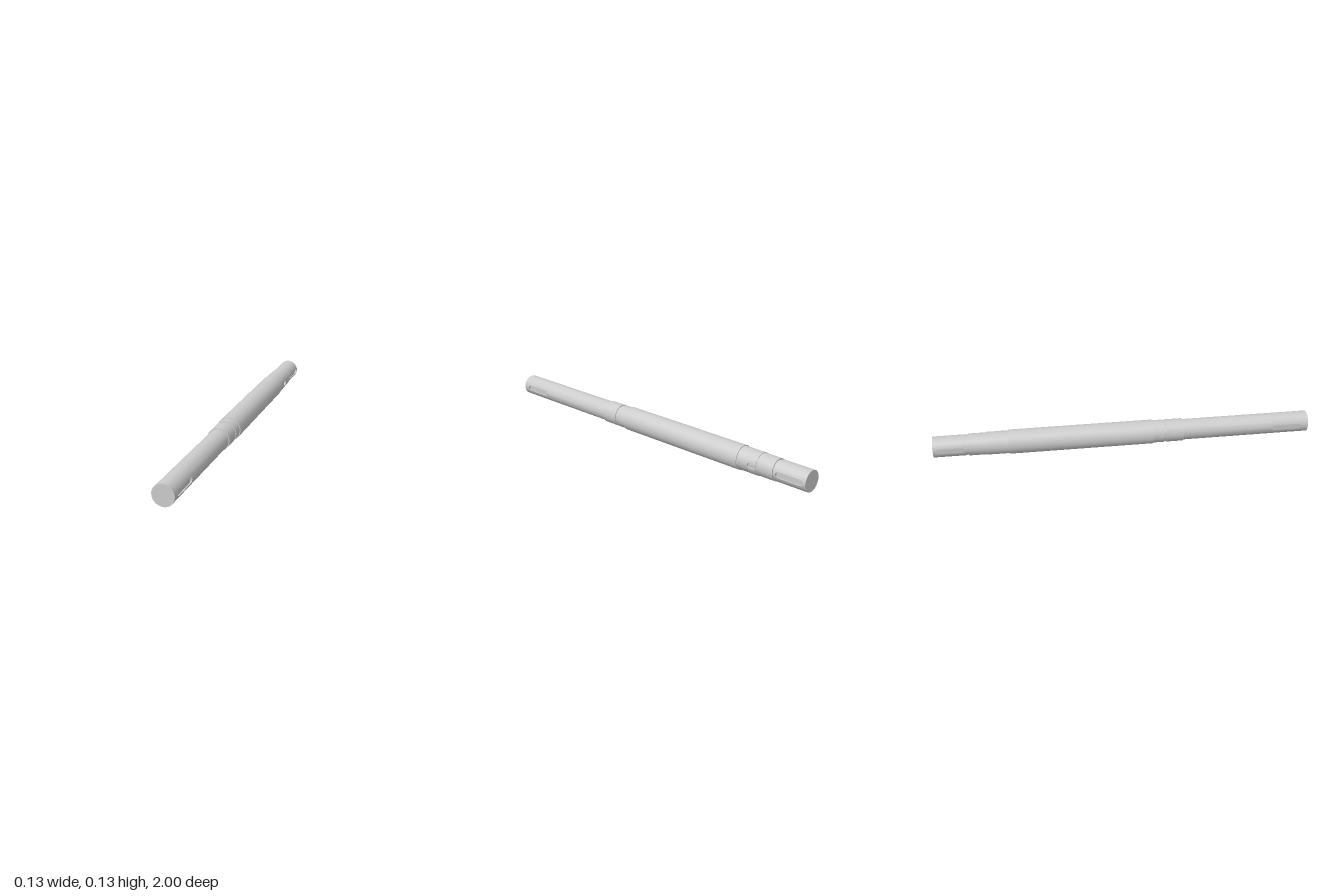
import * as THREE from 'three';
import { toCreasedNormals } from 'three/addons/utils/BufferGeometryUtils.js';

const AXIS_Y = 0.064;
const SIDES = 32;

// One cross-section: a circle whose +x side is notched by a slot of half-width h down to x = floor
function crossSection({ z, r, h = 0, floor = r }) {
  const a = r > 0 ? Math.asin(h / r) : 0;
  const pts = [];
  for (let i = 0; i <= SIDES; i++) {
    const t = a + (2 * Math.PI - 2 * a) * i / SIDES;
    pts.push(new THREE.Vector3(r * Math.cos(t), r * Math.sin(t), z));
  }
  pts.push(new THREE.Vector3(floor, -h, z), new THREE.Vector3(floor, h, z));
  return pts;
}

// Skin a list of stations running from -z to +z
function loft(stations) {
  const rings = stations.map(crossSection);
  const pos = [];
  const tri = (a, b, c) => {
    const area = b.clone().sub(a).cross(c.clone().sub(a)).length();
    if (area > 1e-10) pos.push(...a.toArray(), ...b.toArray(), ...c.toArray());
  };
  for (let i = 0; i < rings.length - 1; i++) {
    const p = rings[i], q = rings[i + 1];
    for (let j = 0; j < p.length; j++) {
      const k = (j + 1) % p.length;
      tri(p[j], p[k], q[k]);
      tri(p[j], q[k], q[j]);
    }
  }
  const geo = new THREE.BufferGeometry();
  geo.setAttribute('position', new THREE.Float32BufferAttribute(pos, 3));
  return toCreasedNormals(geo, 0.6);
}

// Stations of a round-ended keyway from z0 to z1 with half-width w
function keyway(r, z0, z1, w, floor) {
  const steps = 8, half = [];
  for (let i = 0; i <= steps; i++) {
    const t = (i / steps) * Math.PI / 2;
    half.push([w * (1 - Math.cos(t)), w * Math.sin(t)]);
  }
  return [
    { z: z0, r },
    ...half.map(([d, h]) => ({ z: z0 + d, r, h, floor })),
    ...half.reverse().map(([d, h]) => ({ z: z1 - d, r, h, floor })),
    { z: z1, r },
  ];
}

// Plain stretch of shaft, closed at both ends, with optional keyway
function journal(z0, z1, r, slot = []) {
  return loft([{ z: z0, r: 0 }, { z: z0, r }, ...slot, { z: z1, r }, { z: z1, r: 0 }]);
}

export function createModel() {
  const shaft = new THREE.Group();
  shaft.name = 'steppedShaft';
  const material = new THREE.MeshStandardMaterial({ color: 0xcccccc });
  const add = (name, geometry) => {
    const mesh = new THREE.Mesh(geometry, material);
    mesh.name = name;
    mesh.position.y = AXIS_Y;
    shaft.add(mesh);
  };

  // Back end with keyway, then its retaining groove
  add('backEnd', journal(-1, -0.83, 0.055, keyway(0.055, -0.985, -0.835, 0.016, 0.046)));
  add('backGroove', journal(-0.83, -0.818, 0.052));
  add('backCollar', journal(-0.818, -0.725, 0.0575));

  // Back seat with a short keyway
  add('backSeat', journal(-0.725, -0.61, 0.06, keyway(0.06, -0.722, -0.675, 0.013, 0.05)));

  // Thick middle
  add('mainBody', journal(-0.61, 0.155, 0.0637));

  // Front seat split by a groove
  add('frontSeatInner', journal(0.155, 0.21, 0.06));
  add('frontGroove', journal(0.21, 0.222, 0.056));
  add('frontSeatOuter', journal(0.222, 0.315, 0.06));

  // Long front end with keyway
  add('frontEnd', journal(0.315, 1, 0.055, keyway(0.055, 0.8, 0.965, 0.016, 0.046)));

  return shaft;
}
